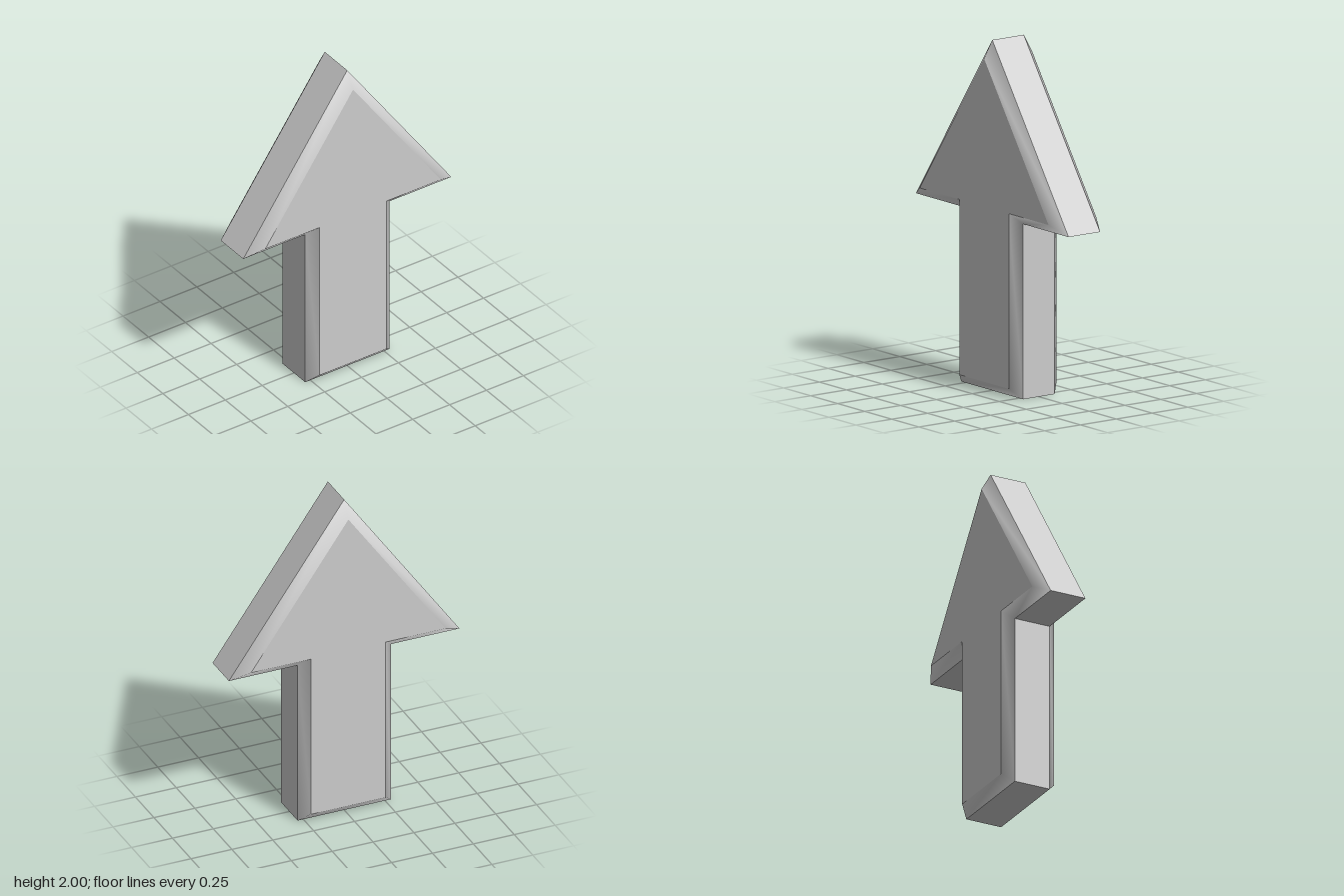
import * as THREE from 'three';

const BEVEL = 0.057, WALL_Z = 0.11, FACE_Z = 0.167;

// Arrow silhouette, counter-clockwise seen from the front
const outline = [
  [-0.285, 0], [0.285, 0], [0.285, 1], [0.705, 1], [0, 2], [-0.705, 1], [-0.285, 1],
].map(([x, y]) => new THREE.Vector2(x, y));

// Moves every edge inwards by d, with mitred corners
function inset(points, d) {
  const n = points.length;
  const inward = (a, b) => new THREE.Vector2(a.y - b.y, b.x - a.x).normalize();
  return points.map((p, i) => {
    const n1 = inward(points[(i + n - 1) % n], p);
    const n2 = inward(p, points[(i + 1) % n]);
    return n1.clone().add(n2).multiplyScalar(d / (1 + n1.dot(n2))).add(p);
  });
}

// Closed band of quads between two matching rings
function band(ringA, zA, ringB, zB) {
  const n = ringA.length, index = [];
  const position = [
    ...ringA.flatMap((p) => [p.x, p.y, zA]),
    ...ringB.flatMap((p) => [p.x, p.y, zB]),
  ];
  for (let i = 0; i < n; i++) {
    const j = (i + 1) % n;
    index.push(i, j, n + j, i, n + j, n + i);
  }
  const geometry = new THREE.BufferGeometry();
  geometry.setAttribute('position', new THREE.Float32BufferAttribute(position, 3));
  geometry.setIndex(index);
  return geometry;
}

export function createModel() {
  const model = new THREE.Group();
  model.name = 'arrow';
  const material = new THREE.MeshStandardMaterial({ color: 0xcccccc });
  const add = (name, geometry, turn = 0) => {
    const mesh = new THREE.Mesh(geometry, material);
    mesh.name = name;
    mesh.rotation.y = turn;
    model.add(mesh);
  };

  // Flat side walls
  const walls = band(outline, -WALL_Z, outline, WALL_Z).toNonIndexed();
  walls.computeVertexNormals();
  add('sideWalls', walls);

  // Bevel, shaded smoothly around its corners
  const inner = inset(outline, BEVEL);
  const bevel = band(outline, WALL_Z, inner, FACE_Z);
  bevel.computeVertexNormals();

  // Flat face
  const face = new THREE.ShapeGeometry(new THREE.Shape(inner));
  face.translate(0, 0, FACE_Z);

  // The symmetric front half is turned round for the back
  for (const [side, turn] of [['front', 0], ['back', Math.PI]]) {
    add(side + 'Bevel', bevel, turn);
    add(side + 'Face', face, turn);
  }
  return model;
}
